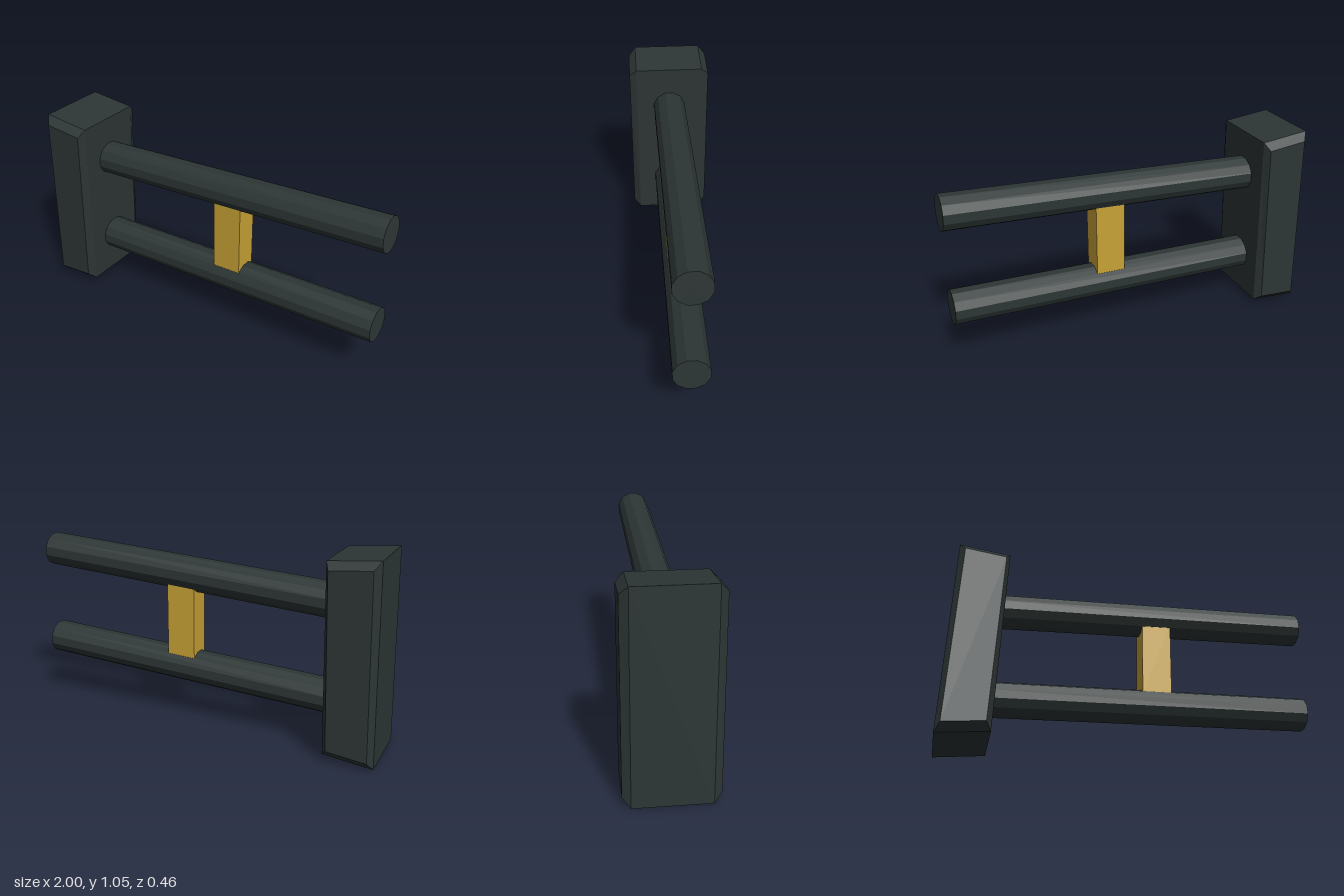
import * as THREE from 'three';

export function createModel() {
  const group = new THREE.Group();
  const dark = new THREE.MeshStandardMaterial({ name: 'dark slate', color: 0x2d3635, flatShading: true });
  const gold = new THREE.MeshStandardMaterial({ name: 'gold', color: 0xc9a336, flatShading: true });

  const add = (name, geometry, material) => {
    const mesh = new THREE.Mesh(geometry, material);
    mesh.name = name;
    group.add(mesh);
    return mesh;
  };

  // End block: slanted four-sided rings along z, smaller at both ends for the chamfer
  const outer = [[-1, 0], [-0.735, 0.029], [-0.709, 1.025], [-0.974, 1.05]];
  const inner = [[-0.974, 0.044], [-0.762, 0.066], [-0.73, 0.987], [-0.944, 1.008]];
  const rings = [[inner, -0.23], [outer, -0.19], [outer, 0.19], [inner, 0.23]];
  const positions = rings.flatMap(([ring, z]) => ring.flatMap(([x, y]) => [x, y, z]));
  const index = [0, 2, 1, 0, 3, 2, 12, 13, 14, 12, 14, 15];
  for (let r = 0; r < 3; r++) {
    for (let i = 0; i < 4; i++) {
      const a = r * 4 + i, b = r * 4 + (i + 1) % 4;
      index.push(a, b, b + 4, a, b + 4, a + 4);
    }
  }
  const indexed = new THREE.BufferGeometry();
  indexed.setAttribute('position', new THREE.Float32BufferAttribute(positions, 3));
  indexed.setIndex(index);
  const block = indexed.toNonIndexed();
  block.computeVertexNormals();
  add('endBlock', block, dark);

  // Two slightly rising twelve-sided rods, starting inside the block
  const addRod = (name, startY, endY) => {
    const start = new THREE.Vector3(-0.85, startY, 0);
    const end = new THREE.Vector3(0.99, endY, 0);
    const geometry = new THREE.CylinderGeometry(0.0932, 0.0932, start.distanceTo(end), 12);
    geometry.rotateY(Math.PI / 12);
    geometry.rotateZ(-Math.PI / 2);
    const rod = add(name, geometry, dark);
    rod.position.copy(start).add(end).multiplyScalar(0.5);
    rod.rotation.z = Math.atan2(endY - startY, end.x - start.x);
  };
  addRod('upperRod', 0.774, 0.89);
  addRod('lowerRod', 0.263, 0.351);

  // Bridge between the rods, its ends sunk into them
  add('bridge', new THREE.BoxGeometry(0.16, 0.44, 0.13), gold).position.set(0.129, 0.575, 0);

  return group;
}
